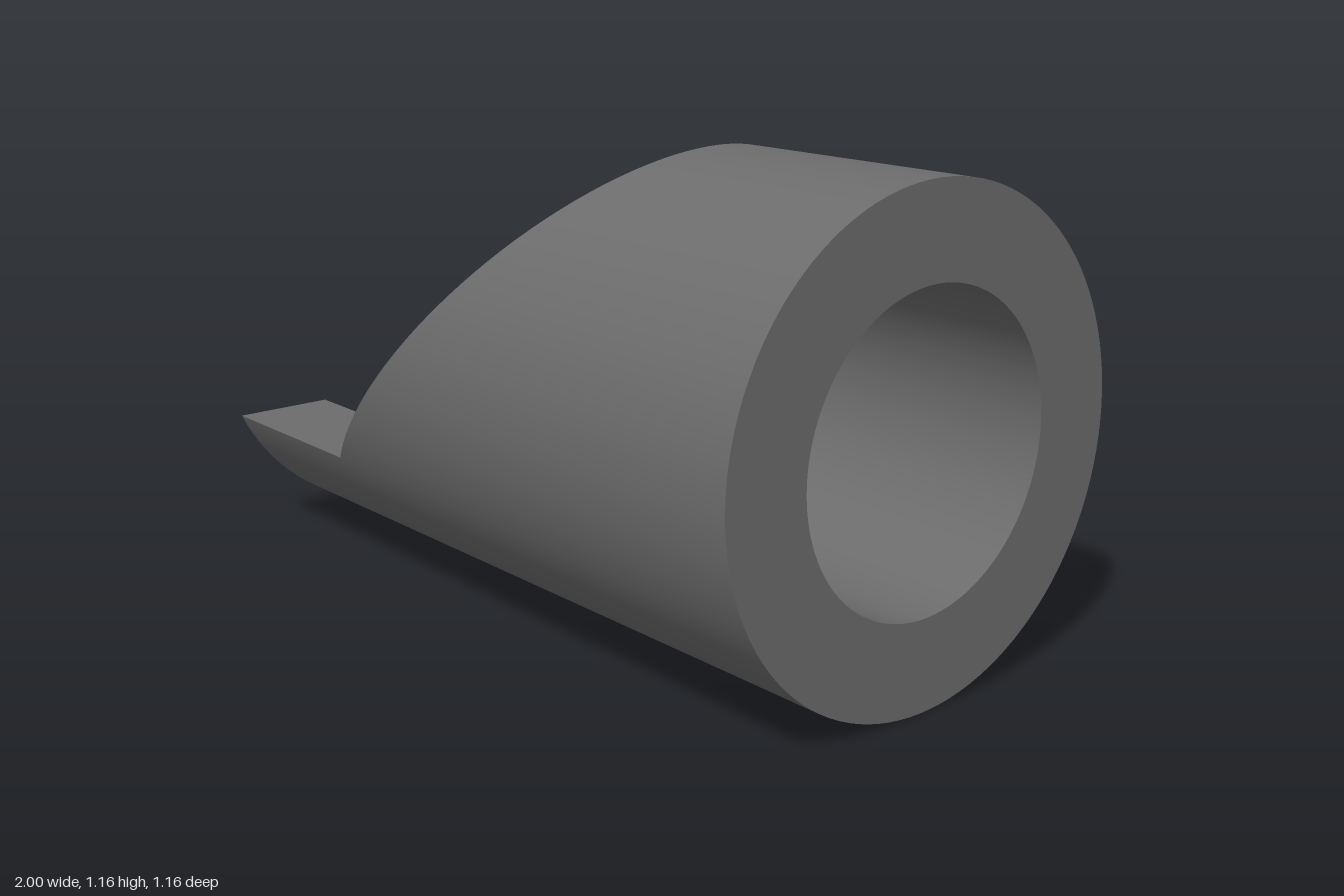
import * as THREE from 'three';

const OUTER = 0.582, BORE = 0.364, AXIS_Y = 0.582;
const LEDGE_Y = 0.33, STEP_X = -0.49;

export function createModel() {
  const group = new THREE.Group();
  const material = new THREE.MeshStandardMaterial({ color: 0x6c6c6c });

  // Surface ruled between two curves p(t) and q(t); round = 1 / -1 gives radial normals out / in
  function strip(name, p, q, segments, round = 0) {
    const positions = [], normals = [], index = [];
    for (let i = 0; i <= segments; i++) {
      for (const v of [p(i / segments), q(i / segments)]) {
        positions.push(v.x, v.y, v.z);
        const n = new THREE.Vector3(0, v.y - AXIS_Y, v.z).normalize().multiplyScalar(round);
        normals.push(n.x, n.y, n.z);
      }
      if (i < segments) {
        const a = 2 * i;
        index.push(a, a + 2, a + 1, a + 1, a + 2, a + 3);
      }
    }
    const geometry = new THREE.BufferGeometry();
    geometry.setAttribute('position', new THREE.Float32BufferAttribute(positions, 3));
    geometry.setIndex(index);
    if (round) geometry.setAttribute('normal', new THREE.Float32BufferAttribute(normals, 3));
    else geometry.computeVertexNormals();
    const mesh = new THREE.Mesh(geometry, material);
    mesh.name = name;
    group.add(mesh);
  }

  // Arc around the tube axis, below or above the ledge height; xAt gives x from height
  const arc = (radius, upper, xAt) => (t) => {
    const a0 = Math.acos((AXIS_Y - LEDGE_Y) / radius);
    const a = upper ? a0 + t * 2 * (Math.PI - a0) : -a0 + t * 2 * a0;
    const y = AXIS_Y - radius * Math.cos(a);
    return new THREE.Vector3(xAt(y), y, radius * Math.sin(a));
  };
  const endX = () => 1;
  const troughX = () => -1;
  const slopeX = (y) => STEP_X + (y - LEDGE_Y); // 45 degree cut

  // Lower trough runs full length, upper half starts at the sloped cut
  for (const upper of [false, true]) {
    const label = upper ? 'upper' : 'lower';
    const n = upper ? 72 : 40;
    const startX = upper ? slopeX : troughX;
    const outerStart = arc(OUTER, upper, startX), outerEnd = arc(OUTER, upper, endX);
    const boreStart = arc(BORE, upper, startX), boreEnd = arc(BORE, upper, endX);
    strip(label + 'OuterWall', outerEnd, outerStart, n, 1);
    strip(label + 'BoreWall', boreStart, boreEnd, n, -1);
    strip(upper ? 'slopedCutFace' : 'troughEndFace', outerStart, boreStart, n);
    strip(label + 'TubeEndFace', boreEnd, outerEnd, n);
  }

  // Flat ledges along both sides of the trough
  for (const side of [1, -1]) {
    const edge = (radius) => (t) => new THREE.Vector3(
      -1 + t * (STEP_X + 1), LEDGE_Y, side * Math.sqrt(radius ** 2 - (AXIS_Y - LEDGE_Y) ** 2));
    const edges = [edge(OUTER), edge(BORE)];
    if (side < 0) edges.reverse();
    strip(side > 0 ? 'frontLedge' : 'backLedge', edges[0], edges[1], 1);
  }
  return group;
}
